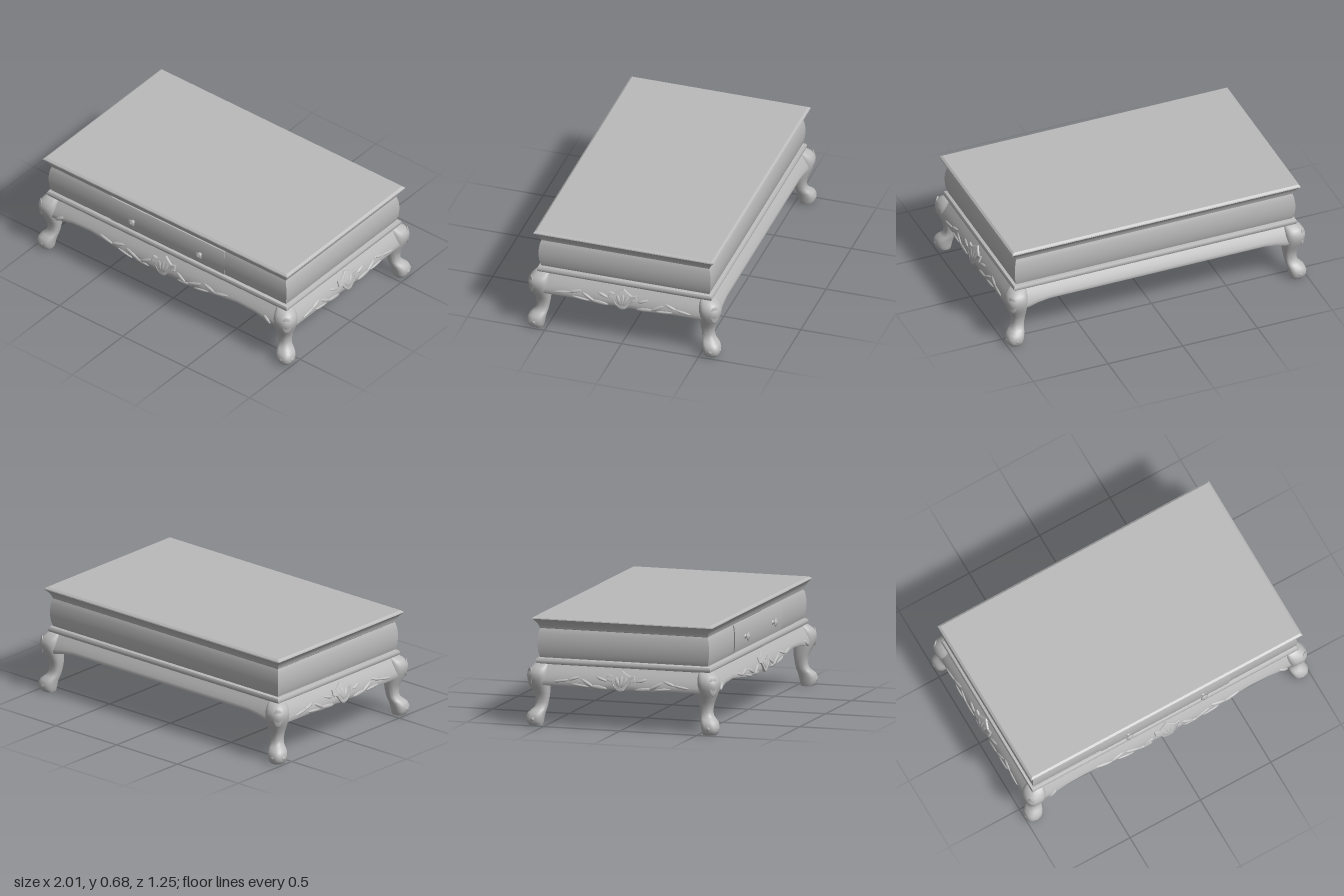
import * as THREE from 'three';
import { toCreasedNormals } from 'three/addons/utils/BufferGeometryUtils.js';

const wood = new THREE.MeshStandardMaterial({ color: 0xbababa });
wood.name = 'grey wood';

// Skin over a stack of equal-length rings of [x, y, z], capped at both ends
function loft(rings, crease = 0.6) {
  const n = rings[0].length, pos = [], idx = [];
  rings.forEach(r => r.forEach(p => pos.push(...p)));
  for (let i = 0; i < rings.length - 1; i++) for (let j = 0; j < n; j++) {
    const k = (j + 1) % n, a = i * n + j, b = i * n + k;
    idx.push(a, a + n, b, b, a + n, b + n);
  }
  [0, rings.length - 1].forEach(e => {
    const c = pos.length / 3, base = e * n;
    for (let q = 0; q < 3; q++) pos.push(rings[e].reduce((s, p) => s + p[q], 0) / n);
    for (let j = 0; j < n; j++) {
      const k = (j + 1) % n;
      e ? idx.push(c, base + k, base + j) : idx.push(c, base + j, base + k);
    }
  });
  const g = new THREE.BufferGeometry();
  g.setAttribute('position', new THREE.Float32BufferAttribute(pos, 3));
  g.setIndex(idx);
  return toCreasedNormals(g, crease);
}

function add(parent, name, geo) {
  const m = new THREE.Mesh(geo, wood);
  m.name = name;
  parent.add(m);
  return m;
}

// Linear lookup in a list of [key, value]
function lookup(t, x) {
  for (let i = 1; i < t.length; i++) if (x <= t[i][0]) {
    const [a, b] = [t[i - 1], t[i]];
    return a[1] + (b[1] - a[1]) * (x - a[0]) / (b[0] - a[0]);
  }
  return t[t.length - 1][1];
}

// Rectangular body from [half depth, y]
const rectangle = prof => loft(prof.map(([d, y]) => {
  const w = d + 0.38;
  return [[w, y, -d], [w, y, d], [-w, y, d], [-w, y, -d]];
}));
const bulge = y => 0.544 + 0.015 * Math.sin(Math.PI * THREE.MathUtils.clamp((y - 0.42) / 0.185, 0, 1)) ** 0.7;

// Outward swell of the apron at a height
const swell = y => 0.048 * Math.sin(Math.min(1, Math.max(0, (0.385 - y) / 0.12)) * Math.PI / 2);

function apronGeometry(half, depth, bottom) {
  const rings = [];
  for (let i = 0; i <= 72; i++) {
    const x = -half + 2 * half * i / 72, low = lookup(bottom, Math.abs(x)), ring = [];
    for (let j = 0; j <= 8; j++) {
      const y = low + (0.385 - low) * j / 8;
      ring.push([x, y, depth + swell(y) - (j ? 0 : 0.006)]);
    }
    ring.push([x, 0.385, depth - 0.04], [x, low, depth]);
    rings.push(ring);
  }
  return loft(rings);
}

// Press a relief onto the swelling apron face
function onApron(geo, depth) {
  const p = geo.attributes.position;
  for (let i = 0; i < p.count; i++) p.setZ(i, p.getZ(i) + depth + swell(p.getY(i)));
  geo.computeVertexNormals();
  return geo;
}

function leaf(parent, depth, x, y, len, wide, angle) {
  const g = new THREE.SphereGeometry(1, 16, 10).scale(len, wide, 0.008).rotateZ(angle).translate(x, y, 0);
  add(parent, 'carvedLeaf', onApron(g, depth));
}

function carving(parent, depth, leaves) {
  // Central shell with ribs
  const half = [[0.03, 0.348], [0.055, 0.335], [0.085, 0.34], [0.088, 0.312], [0.06, 0.305], [0.045, 0.28], [0.02, 0.252]];
  const outline = [[0, 0.366], ...half, [0, 0.246], ...half.slice().reverse().map(([x, y]) => [-x, y])];
  const shape = new THREE.Shape(outline.map(p => new THREE.Vector2(...p)));
  const g = new THREE.ExtrudeGeometry(shape, { depth: 0.014, bevelEnabled: true, bevelSize: 0.003, bevelThickness: 0.003, bevelSegments: 2 });
  add(parent, 'carvedShell', onApron(g.translate(0, 0, -0.006), depth));
  for (const a of [-0.5, 0, 0.5]) {
    const r = new THREE.SphereGeometry(1, 10, 8).scale(0.012, 0.036, 0.004).translate(0, 0.045, 0.01).rotateZ(a).translate(0, 0.262, 0);
    add(parent, 'shellRib', onApron(r, depth));
  }
  // Mirrored leaf scrolls
  for (const s of [-1, 1]) for (const [x, y, l, w, a] of leaves) leaf(parent, depth, s * x, y, l, w, s * a);
}

// Cabriole leg from [y, outer inset, inner inset], standing at the +x +z corner
const legProfile = [[0, 0.018, 0.1], [0.012, 0.008, 0.104], [0.03, 0.001, 0.108], [0.055, 0, 0.112], [0.08, 0.01, 0.117], [0.098, 0.03, 0.121],
  [0.115, 0.045, 0.124], [0.14, 0.05, 0.128], [0.17, 0.048, 0.133], [0.2, 0.04, 0.137], [0.24, 0.022, 0.139], [0.28, 0.007, 0.14],
  [0.31, 0.002, 0.14], [0.335, 0.005, 0.14], [0.36, 0.02, 0.14], [0.385, 0.05, 0.14]];

function legGeometry() {
  const pow = v => Math.sign(v) * Math.abs(v) ** 0.8;
  return loft(legProfile.map(([y, o, n]) => {
    const c = (o + n) / 2, r = (n - o) / 2, ring = [];
    for (let j = 0; j < 28; j++) {
      const a = j / 28 * Math.PI * 2;
      ring.push([1 - c + r * pow(Math.cos(a)), y, 0.625 - c + r * pow(Math.sin(a))]);
    }
    return ring;
  }), 0.9);
}

// Reverse triangles so a mirrored geometry still faces outward
function mirrored(geo, sx, sz) {
  const g = geo.clone().scale(sx, 1, sz);
  if (sx * sz < 0) for (const a of Object.values(g.attributes)) {
    for (let i = 0; i < a.count; i += 3) for (let q = 0; q < 3; q++) {
      const t = a.getComponent(i + 1, q);
      a.setComponent(i + 1, q, a.getComponent(i + 2, q));
      a.setComponent(i + 2, q, t);
    }
  }
  return g;
}

export function createModel() {
  const table = new THREE.Group();
  table.name = 'coffeeTable';

  // Table top with coved edge
  add(table, 'tableTop', rectangle([[0.543, 0.602], [0.547, 0.605], [0.552, 0.622], [0.563, 0.642], [0.576, 0.656], [0.585, 0.665], [0.583, 0.671], [0.57, 0.68]]));

  // Bowed case
  const rows = [];
  for (let i = 0; i <= 12; i++) {
    const y = 0.418 + 0.187 * i / 12;
    rows.push([bulge(y), y]);
  }
  add(table, 'case', rectangle(rows));

  // Rounded base moulding
  add(table, 'baseMoulding', rectangle([[0.55, 0.38], [0.562, 0.384], [0.567, 0.394], [0.567, 0.406], [0.562, 0.416], [0.55, 0.421]]));

  // Floor panel set between the aprons
  add(table, 'floorPanel', new THREE.BoxGeometry(1.84, 0.02, 1.09)).position.y = 0.31;

  // Drawer front following the bow
  const drawer = [-1, 1].map(s => {
    const ring = [];
    for (let j = 0; j <= 12; j++) {
      const y = 0.428 + 0.174 * j / 12;
      ring.push([s * (0.447 + 0.014 * Math.sin(Math.PI * j / 12)), y, bulge(y) + 0.008]);
    }
    ring.push([s * 0.447, 0.602, 0.53], [s * 0.447, 0.428, 0.53]);
    return ring;
  });
  add(table, 'drawerFront', loft(drawer));

  // Knobs
  const knobProfile = [[0, 0], [0.016, 0], [0.016, 0.006], [0.008, 0.01], [0.008, 0.02], [0.024, 0.023], [0.026, 0.027], [0.02, 0.031], [0.01, 0.032], [0.008, 0.036], [0, 0.037]];
  for (const x of [-0.265, 0.265]) {
    const knob = add(table, 'knob', new THREE.LatheGeometry(knobProfile.map(p => new THREE.Vector2(...p)), 20));
    knob.rotation.x = Math.PI / 2;
    knob.position.set(x, 0.505, 0.561);
  }

  // Aprons with scalloped lower edges; the back one is plain and straight
  const longEdge = [[0, 0.245], [0.08, 0.252], [0.15, 0.249], [0.3, 0.257], [0.45, 0.28], [0.58, 0.295], [0.72, 0.289], [0.8, 0.271], [0.9, 0.26]];
  const backEdge = [[0, 0.293], [0.72, 0.293], [0.8, 0.282], [0.85, 0.268], [0.9, 0.26]];
  const sideEdge = [[0, 0.245], [0.06, 0.252], [0.14, 0.245], [0.22, 0.25], [0.3, 0.256], [0.55, 0.256]];
  const longLeaves = [[0.14, 0.285, 0.045, 0.012, -0.5], [0.17, 0.262, 0.06, 0.011, 0.1], [0.24, 0.285, 0.06, 0.011, 0.35], [0.3, 0.268, 0.06, 0.009, 0.2],
    [0.36, 0.305, 0.05, 0.01, -0.25], [0.45, 0.3, 0.06, 0.009, 0.2], [0.82, 0.285, 0.035, 0.012, -0.6]];
  const sideLeaves = [[0.13, 0.315, 0.035, 0.009, 0.3], [0.15, 0.262, 0.06, 0.013, 0.1], [0.22, 0.285, 0.05, 0.01, 0.5], [0.27, 0.268, 0.055, 0.009, 0.1],
    [0.31, 0.308, 0.04, 0.009, -0.3], [0.39, 0.29, 0.055, 0.008, -0.15]];
  const sides = [['frontApron', 0, 0.9, 0.555, longEdge, longLeaves], ['backApron', Math.PI, 0.9, 0.555, backEdge, null],
    ['leftApron', Math.PI / 2, 0.53, 0.935, sideEdge, sideLeaves], ['rightApron', -Math.PI / 2, 0.53, 0.935, sideEdge, sideLeaves]];
  for (const [name, turn, half, depth, edge, leaves] of sides) {
    const group = new THREE.Group();
    group.name = name;
    group.rotation.y = turn;
    add(group, name + 'Board', apronGeometry(half, depth, edge));
    if (leaves) carving(group, depth, leaves);
    table.add(group);
  }

  // Legs with foot scrolls and a carved knee leaf
  const leg = legGeometry();
  for (const sx of [-1, 1]) for (const sz of [-1, 1]) {
    add(table, 'cabrioleLeg', mirrored(leg, sx, sz));
    for (const [x, z] of [[0.945, 0.608], [0.984, 0.572]]) {
      const ball = add(table, 'footScroll', new THREE.SphereGeometry(0.02, 14, 10));
      ball.position.set(sx * x, 0.042, sz * z);
    }
    const knee = add(table, 'kneeLeaf', new THREE.SphereGeometry(1, 16, 12));
    knee.scale.set(0.03, 0.06, 0.009);
    knee.position.set(sx * 0.971, 0.305, sz * 0.596);
    knee.rotation.y = Math.atan2(sx, sz);
  }
  return table;
}
